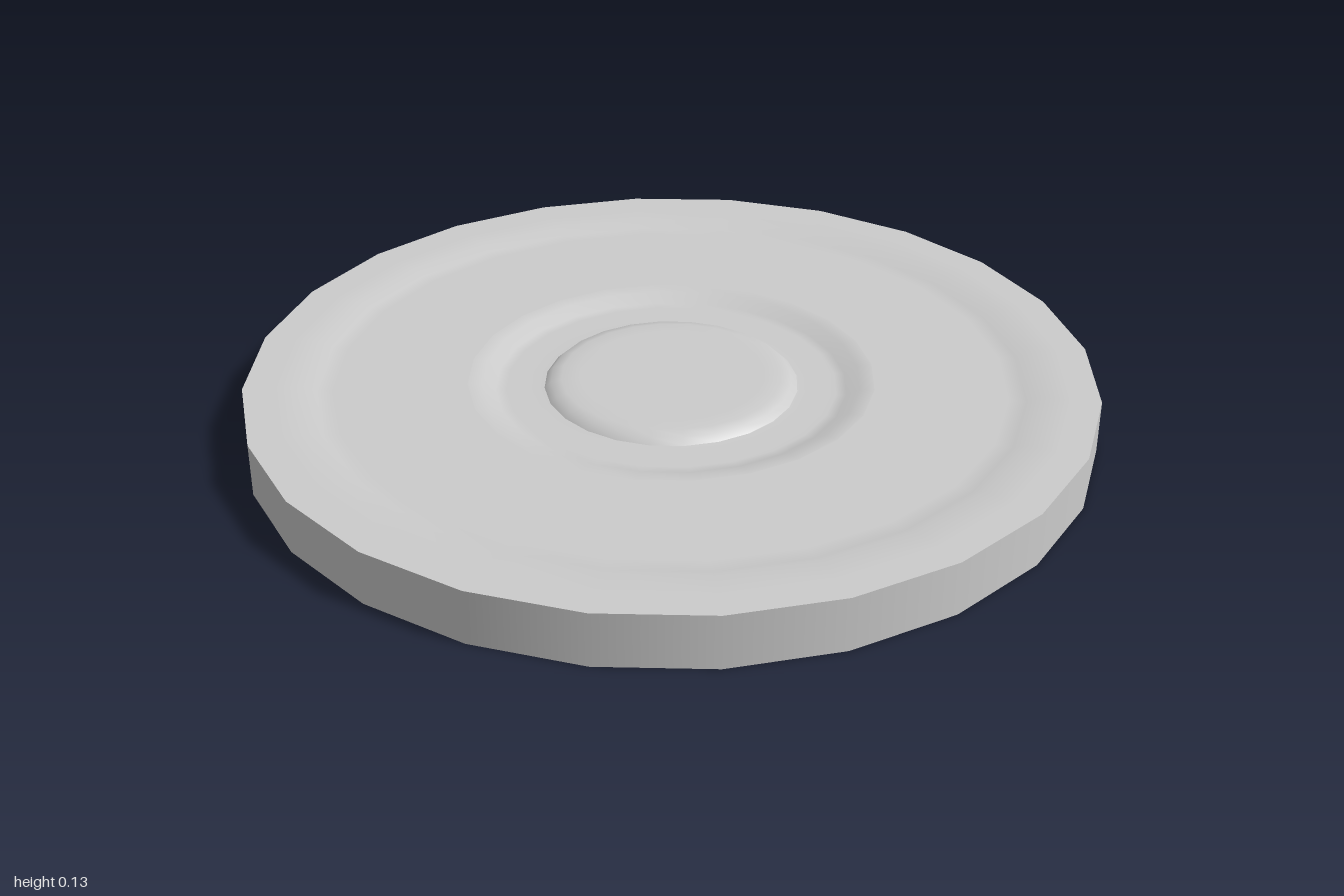
import * as THREE from 'three';

const SIDES = 24;
const HEIGHT = 0.128;

export function createModel() {
  const model = new THREE.Group();
  model.name = 'disc';
  const material = new THREE.MeshStandardMaterial({ color: 0xcccccc });

  // Turns a [radius, height] profile; separate pieces keep the rim edges sharp
  const turn = (name, profile) => {
    const points = profile.map(([r, y]) => new THREE.Vector2(r, y));
    const mesh = new THREE.Mesh(new THREE.LatheGeometry(points, SIDES), material);
    mesh.name = name;
    model.add(mesh);
  };

  turn('base', [[0, 0], [1, 0]]);
  turn('outerWall', [[1, 0], [1, HEIGHT]]);

  // Raised rim, stepping down to the flat plate
  turn('rim', [[1, HEIGHT], [0.93, HEIGHT], [0.86, HEIGHT], [0.83, HEIGHT - 0.014], [0.79, HEIGHT - 0.014]]);
  turn('plate', [[0.79, HEIGHT - 0.014], [0.48, HEIGHT - 0.014]]);

  // Round groove about the centre
  turn('groove', [
    [0.48, HEIGHT - 0.014], [0.445, HEIGHT - 0.016], [0.415, HEIGHT - 0.034],
    [0.39, HEIGHT - 0.035], [0.32, HEIGHT - 0.035], [0.3, HEIGHT - 0.034],
  ]);

  // Raised central boss with a rounded edge
  turn('boss', [
    [0.3, HEIGHT - 0.034], [0.285, HEIGHT - 0.02], [0.26, HEIGHT - 0.014],
    [0.22, HEIGHT - 0.012], [0, HEIGHT - 0.012],
  ]);

  return model;
}
